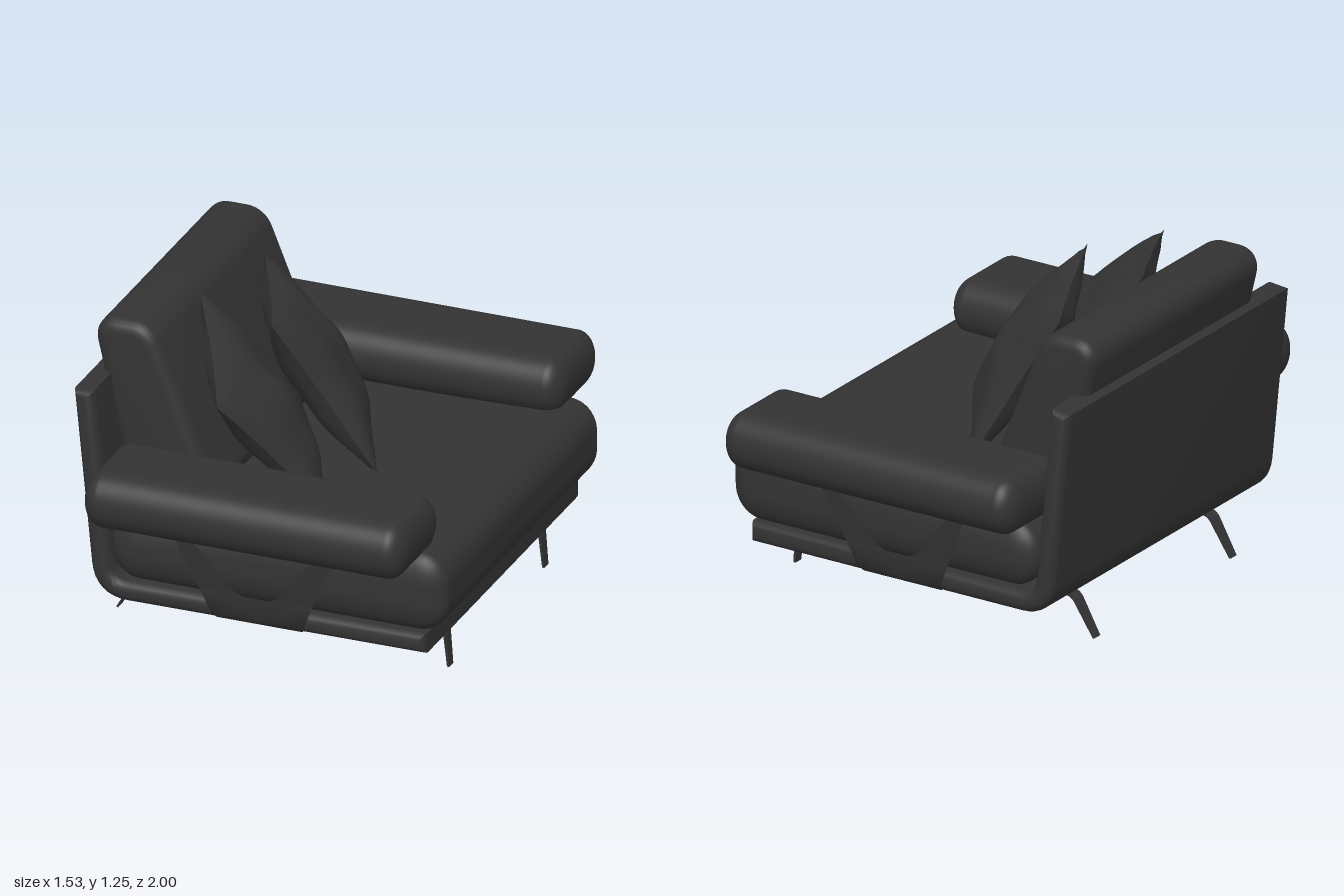
import * as THREE from 'three';
import { mergeVertices, mergeGeometries, toCreasedNormals } from 'three/addons/utils/BufferGeometryUtils.js';
import { RoundedBoxGeometry } from 'three/addons/geometries/RoundedBoxGeometry.js';

const V = (x, y, z) => new THREE.Vector3(x, y, z);
const fabric = new THREE.MeshStandardMaterial({ color: 0x333333 });
const thin = new THREE.MeshStandardMaterial({ color: 0x333333, side: THREE.DoubleSide });

// Box with a different rounding radius along each axis
function softBox(w, h, d, rx, ry, rz) {
  return new RoundedBoxGeometry(w / rx, h / ry, d / rz, 6, 1).scale(rx, ry, rz);
}

// Polyline whose inner corners are rounded by radius r
function roundedPath(points, r) {
  const p = points.map(([x, y]) => new THREE.Vector2(x, y));
  const path = new THREE.Path().moveTo(p[0].x, p[0].y);
  for (let i = 1; i < p.length - 1; i++) {
    const a = p[i].clone().add(p[i - 1].clone().sub(p[i]).setLength(r));
    const b = p[i].clone().add(p[i + 1].clone().sub(p[i]).setLength(r));
    path.lineTo(a.x, a.y);
    path.quadraticCurveTo(p[i].x, p[i].y, b.x, b.y);
  }
  path.lineTo(p.at(-1).x, p.at(-1).y);
  return path.getPoints(8);
}

// Closed outline of a strip running along a path
function stripShape(pts, half) {
  const sides = [[], []];
  pts.forEach((p, i) => {
    const t = pts[Math.min(i + 1, pts.length - 1)].clone().sub(pts[Math.max(i - 1, 0)]).normalize();
    const n = new THREE.Vector2(-t.y, t.x).multiplyScalar(half);
    sides[0].push(p.clone().add(n));
    sides[1].unshift(p.clone().sub(n));
  });
  return new THREE.Shape([...sides[0], ...sides[1]]);
}

// Side profile extruded across the width, edges rounded by the bevel
function extrudeZ(shape, width, bevel) {
  const g = new THREE.ExtrudeGeometry(shape, {
    depth: width - 2 * bevel, bevelEnabled: bevel > 0,
    bevelSize: bevel, bevelThickness: bevel, bevelSegments: 5, curveSegments: 8,
  }).translate(0, 0, bevel - width / 2);
  g.deleteAttribute('normal');
  g.deleteAttribute('uv');
  return toCreasedNormals(mergeVertices(g, 1e-5), 0.7);
}

// Throw pillow spanned between four corners, pinched at its seams
function pillow(tl, tr, br, bl, thick, phase) {
  const normal = tr.clone().sub(tl).cross(tl.clone().sub(bl)).normalize();
  const halves = [1, -1].map((side) => {
    const g = new THREE.PlaneGeometry(2, 2, 24, 24);
    const pos = g.attributes.position;
    for (let i = 0; i < pos.count; i++) {
      const u = pos.getX(i) * side, v = pos.getY(i);
      const a = (u * (1 - 0.09 * (1 - v * v)) + 1) / 2;
      const b = (v * (1 - 0.07 * (1 - u * u)) + 1) / 2;
      const swell = Math.pow(Math.max(0, (1 - u * u) * (1 - v * v)), 0.55);
      const crease = 1 + 0.1 * Math.sin(5 * u + 3 * v + phase) * Math.cos(4 * v - 2 * u);
      const p = bl.clone().lerp(br, a).lerp(tl.clone().lerp(tr, a), b);
      p.addScaledVector(normal, side * thick * swell * crease);
      pos.setXYZ(i, p.x, p.y, p.z);
    }
    g.computeVertexNormals();
    return g;
  });
  return mergeGeometries(halves);
}

// Sheet-metal fork holding an armrest; rows are z, y, inner x, outer x
function bracketGeometry() {
  const rows = [
    [0, 0.163, 0, 0.17], [0.71, 0.163, 0, 0.17], [0.75, 0.172, 0, 0.175], [0.775, 0.2, 0, 0.19],
    [0.788, 0.295, 0, 0.228], [0.788, 0.296, 0.055, 0.228], [0.791, 0.315, 0.09, 0.238],
    [0.823, 0.51, 0.25, 0.322], [0.825, 0.53, 0.265, 0.332], [0.815, 0.543, 0.27, 0.335],
    [0.76, 0.547, 0.27, 0.335],
  ];
  const pos = [], index = [];
  for (const s of [-1, 1]) {
    const base = pos.length / 3;
    rows.forEach(([z, y, inner, outer], i) => {
      pos.push(s * inner, y, z, s * outer, y, z);
      if (i === 0) return;
      const k = base + 2 * i;
      const quad = [k - 2, k - 1, k + 1, k - 2, k + 1, k];
      index.push(...(s > 0 ? quad : quad.reverse()));
    });
  }
  const g = new THREE.BufferGeometry();
  g.setAttribute('position', new THREE.Float32BufferAttribute(pos, 3));
  g.setIndex(index);
  return toCreasedNormals(g, 0.7);
}

export function createModel() {
  const model = new THREE.Group();
  const add = (name, geometry, material = fabric) => {
    const mesh = new THREE.Mesh(geometry, material);
    mesh.name = name;
    model.add(mesh);
    return mesh;
  };

  // Bent shell: base panel turning up into the back panel
  const shellPath = roundedPath([[-0.722, 0.99], [-0.645, 0.212], [0.64, 0.217]], 0.1);
  add('shell', extrudeZ(stripShape(shellPath, 0.006), 1.54, 0.036));

  // Seat cushion, thicker toward its front edge
  const seat = softBox(1.38, 0.3, 1.58, 0.12, 0.13, 0.07).translate(0.07, 0.415, 0);
  const sp = seat.attributes.position;
  for (let i = 0; i < sp.count; i++) {
    const lift = (sp.getX(i) + 0.62) / 1.38;
    if (sp.getY(i) > 0.415) sp.setY(i, sp.getY(i) - 0.035 + 0.065 * lift);
  }
  add('seatCushion', seat);

  // Leaning wedge back cushion
  const wedge = roundedPath([
    [-0.42, 0.58], [-0.31, 0.58], [-0.56, 1.2], [-0.715, 1.2], [-0.57, 0.58], [-0.42, 0.58],
  ], 0.05).slice(0, -1);
  add('backCushion', extrudeZ(new THREE.Shape(wedge), 1.17, 0.05));

  // Armrests and their brackets
  for (const s of [1, -1]) {
    const side = s > 0 ? 'left' : 'right';
    add(side + 'Armrest', softBox(1.32, 0.23, 0.435, 0.075, 0.114, 0.1))
      .position.set(0.01, 0.665, s * 0.7825);
    const bracket = add(side + 'Bracket', bracketGeometry(), thin);
    bracket.position.x = -0.007;
    if (s < 0) bracket.scale.z = -1;
  }

  // Throw pillows
  add('middlePillow', pillow(V(-0.14, 1.21, 0.32), V(-0.44, 1.18, -0.33),
    V(-0.12, 0.59, -0.45), V(0.24, 0.59, 0.18), 0.12, 0.5));
  add('sidePillow', pillow(V(-0.15, 1.09, 0.83), V(-0.51, 1.22, 0.14),
    V(-0.16, 0.65, -0.05), V(0.2, 0.59, 0.57), 0.12, 2));

  // Flat-bar leg frames, narrowing toward the floor
  const legPath = roundedPath([[-0.7, 0], [-0.605, 0.16], [0.64, 0.168], [0.656, 0]], 0.03);
  for (const s of [1, -1]) {
    const g = extrudeZ(stripShape(legPath, 0.005), 0.056, 0);
    const p = g.attributes.position;
    for (let i = 0; i < p.count; i++) {
      p.setZ(i, p.getZ(i) * (0.7 + 0.3 * Math.min(1, p.getY(i) / 0.165)));
      p.setY(i, Math.max(0, p.getY(i)));
    }
    add(s > 0 ? 'leftLegFrame' : 'rightLegFrame', g).position.z = s * 0.468;
  }
  return model;
}
